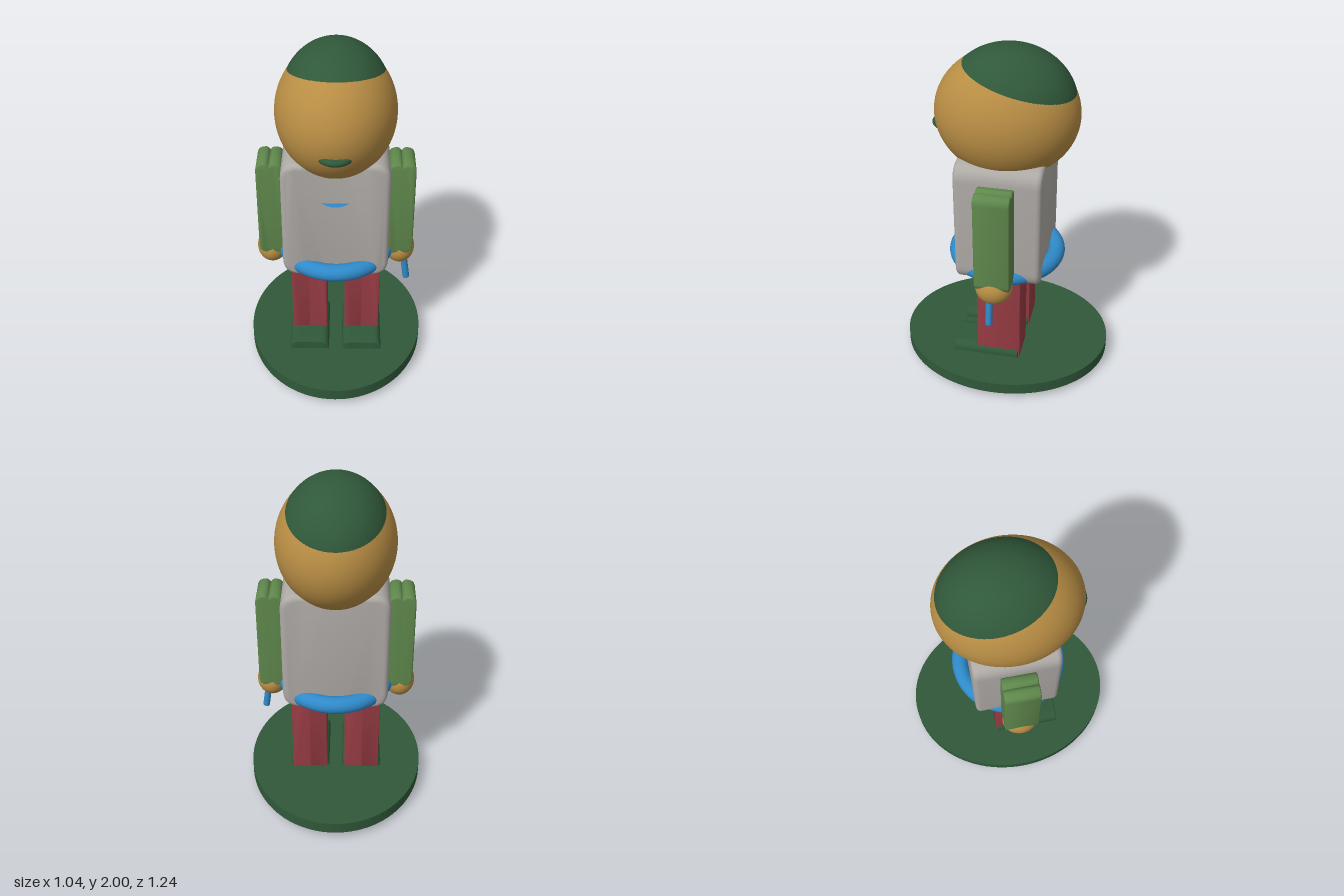
import * as THREE from 'three';
import { toCreasedNormals } from 'three/addons/utils/BufferGeometryUtils.js';

const mat = (name, color, side = THREE.FrontSide) => {
  const m = new THREE.MeshStandardMaterial({ color, side });
  m.name = name;
  return m;
};

// Block with rounded corners in the front outline, extruded along z and slightly bevelled.
// dip sinks the middle of the top and bottom edges.
function roundedBlock(w, h, d, r, bevel, dip = 0) {
  const x = w / 2, y = h / 2, p = Math.max(0, x - r);
  const s = new THREE.Shape();
  s.moveTo(0, y - dip);
  s.quadraticCurveTo(-p * 0.5, y, -p, y);
  s.quadraticCurveTo(-x, y, -x, y - r);
  s.lineTo(-x, -y + r);
  s.quadraticCurveTo(-x, -y, -p, -y);
  s.quadraticCurveTo(-p * 0.5, -y, 0, -y + dip);
  s.quadraticCurveTo(p * 0.5, -y, p, -y);
  s.quadraticCurveTo(x, -y, x, -y + r);
  s.lineTo(x, y - r);
  s.quadraticCurveTo(x, y, p, y);
  s.quadraticCurveTo(p * 0.5, y, 0, y - dip);
  const geo = new THREE.ExtrudeGeometry(s, {
    depth: d - 2 * bevel, curveSegments: 8,
    bevelEnabled: true, bevelSize: bevel, bevelThickness: bevel,
    bevelOffset: -bevel, bevelSegments: 4,
  });
  geo.translate(0, 0, -d / 2 + bevel);
  return toCreasedNormals(geo, 0.6);
}

export function createModel() {
  const model = new THREE.Group();
  model.name = 'figurine';

  const gold = mat('gold', 0xb88d44);
  const darkGreen = mat('dark green', 0x30583a);
  const green = mat('leaf green', 0x5f884c);
  const grey = mat('warm grey', 0xaeaaa6);
  const red = mat('brick red', 0x983c44);
  const blue = mat('blue', 0x2f8aca, THREE.DoubleSide);

  const add = (name, geo, material, x, y, z) => {
    const m = new THREE.Mesh(geo, material);
    m.name = name;
    m.position.set(x, y, z);
    model.add(m);
    return m;
  };

  // Oval base
  add('base', new THREE.CylinderGeometry(1, 1, 0.07, 96), darkGreen, 0, 0.075, 0).scale.set(0.52, 1, 0.62);

  // Head, and a smaller ellipsoid set up and back that shows as the cap
  const ball = new THREE.SphereGeometry(1, 96, 64);
  add('head', ball, gold, 0, 1.615, 0).scale.set(0.332, 0.36, 0.4);
  add('cap', ball, darkGreen, 0, 1.674, -0.018).scale.set(0.301, 0.326, 0.363);

  // Mouth: small ring half sunk in the face
  add('mouth', new THREE.TorusGeometry(0.08, 0.02, 16, 48), darkGreen, 0, 1.525, 0.32).rotation.x = Math.PI / 2;

  // Torso, belt and the flat disc standing out of the chest
  add('torso', roundedBlock(0.6, 0.75, 0.49, 0.1, 0.03), grey, 0, 1.035, 0);
  add('belt', new THREE.TorusGeometry(0.29, 0.05, 20, 72), blue, 0, 0.72, 0).rotation.x = Math.PI / 2;
  add('chestDisc', new THREE.CircleGeometry(0.09, 40), blue, 0, 1.17, 0.195).rotation.x = -Math.PI / 2;

  // Limbs, mirrored
  const armGeo = roundedBlock(0.15, 0.61, 0.2, 0.05, 0.01, 0.018);
  const legGeo = roundedBlock(0.207, 0.75, 0.255, 0.06, 0.004, 0.012);
  const shoeGeo = roundedBlock(0.235, 0.11, 0.39, 0.05, 0.006);
  for (const [side, s] of [['left', 1], ['right', -1]]) {
    add(side + 'Arm', armGeo, green, s * 0.37, 1.018, 0);
    add(side + 'Hand', ball, gold, s * 0.375, 0.7, 0).scale.set(0.089, 0.096, 0.105);
    add(side + 'Leg', legGeo, red, s * 0.157, 0.38, 0);
    add(side + 'Shoe', shoeGeo, darkGreen, s * 0.157, 0.11, 0.077);
  }

  // Short stick held in the left hand
  add('stick', new THREE.CylinderGeometry(0.02, 0.02, 0.24, 24), blue, 0.408, 0.594, 0.02).rotation.z = 0.14;

  return model;
}
